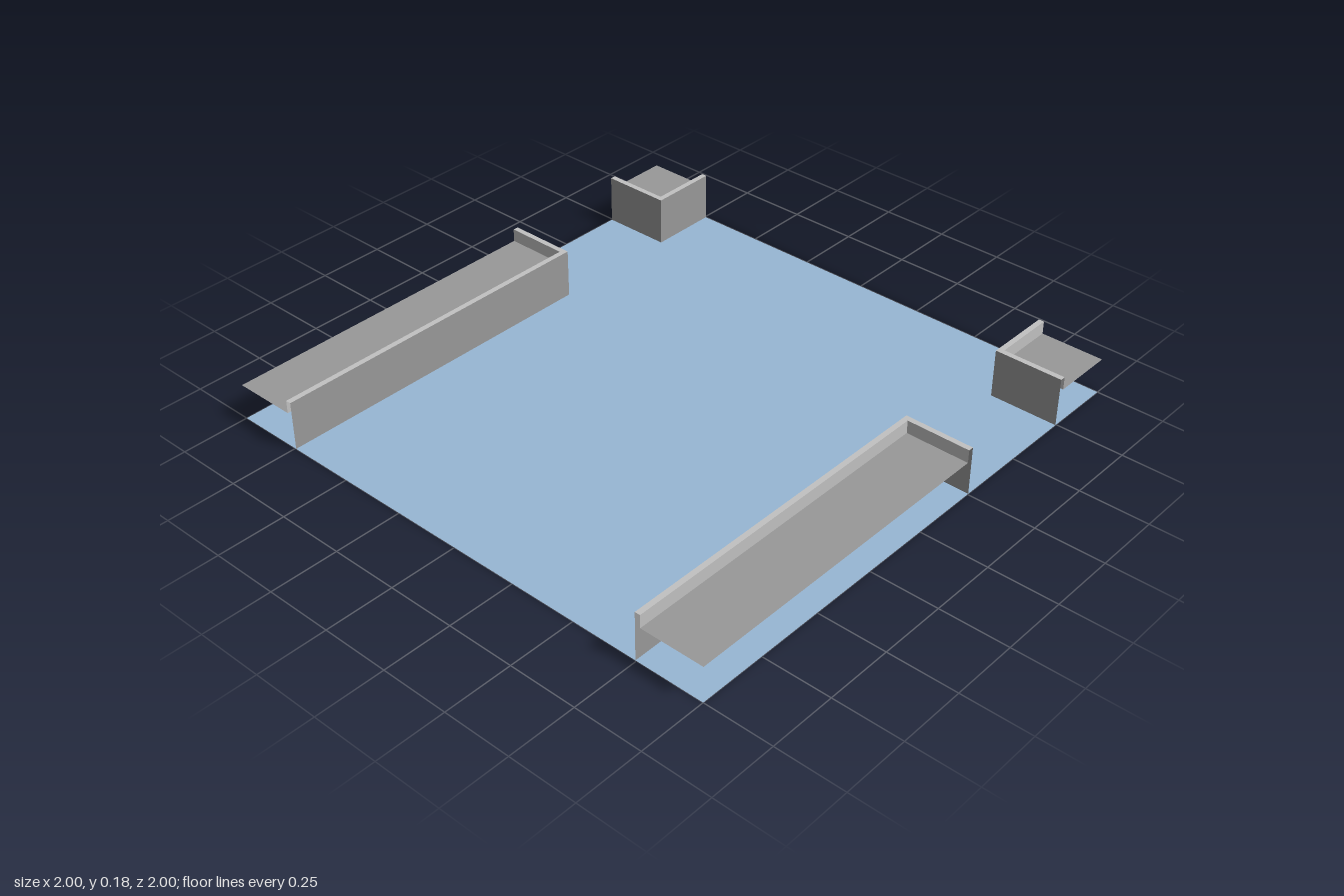
import * as THREE from 'three';

const WALL_X = 0.746;   // channel-side face of each bank
const CURB = 0.02;      // curb width
const TOP = 0.18;       // curb height
const GROUND = 0.132;   // pavement height

function material(name, color) {
  const m = new THREE.MeshStandardMaterial({ color, side: THREE.DoubleSide });
  m.name = name;
  return m;
}

// Sweeps a list of [inset, height] points round the L-shaped edge of a bank.
function sweepEdge(side, dir, wallZ, profile) {
  const path = ([inset, y]) => [
    [side, y, wallZ + dir * inset],
    [side * (WALL_X + inset), y, wallZ + dir * inset],
    [side * (WALL_X + inset), y, dir],
  ];
  const positions = [];
  for (let i = 0; i < profile.length - 1; i++) {
    const low = path(profile[i]), high = path(profile[i + 1]);
    for (let j = 0; j < 2; j++) {
      const a = low[j], b = low[j + 1], c = high[j + 1], d = high[j];
      const corners = side * dir > 0 ? [a, b, c, a, c, d] : [a, c, b, a, d, c];
      positions.push(...corners.flat());
    }
  }
  const geo = new THREE.BufferGeometry();
  geo.setAttribute('position', new THREE.Float32BufferAttribute(positions, 3));
  geo.computeVertexNormals();
  return geo;
}

// Horizontal rectangle facing up
function slab(x0, x1, z0, z1, y) {
  const geo = new THREE.PlaneGeometry(Math.abs(x1 - x0), Math.abs(z1 - z0));
  geo.rotateX(-Math.PI / 2);
  geo.translate((x0 + x1) / 2, y, (z0 + z1) / 2);
  return geo;
}

export function createModel() {
  const model = new THREE.Group();
  model.name = 'canalJunction';
  const water = material('water blue', 0x98b7d4);
  const stone = material('stone grey', 0x999999);
  const trim = material('curb light grey', 0xc2c2c2);

  const add = (parent, name, geo, mat) => {
    const mesh = new THREE.Mesh(geo, mat);
    mesh.name = name;
    parent.add(mesh);
  };

  add(model, 'waterSurface', slab(-1, 1, -1, 1, 0), water);

  // Two long front banks and two short back banks, open at the tile border
  for (const side of [-1, 1]) {
    for (const [dir, wallZ, label] of [[1, -0.254, 'front'], [-1, -0.746, 'back']]) {
      const bank = new THREE.Group();
      bank.name = label + (side > 0 ? 'LeftBank' : 'RightBank');
      add(bank, 'quayWall', sweepEdge(side, dir, wallZ, [[0, 0], [0, TOP]]), stone);
      add(bank, 'curb', sweepEdge(side, dir, wallZ, [[0, TOP], [CURB, TOP], [CURB, GROUND]]), trim);
      add(bank, 'pavement', slab(side * (WALL_X + CURB), side, wallZ + dir * CURB, dir, GROUND), stone);
      model.add(bank);
    }
  }
  return model;
}
